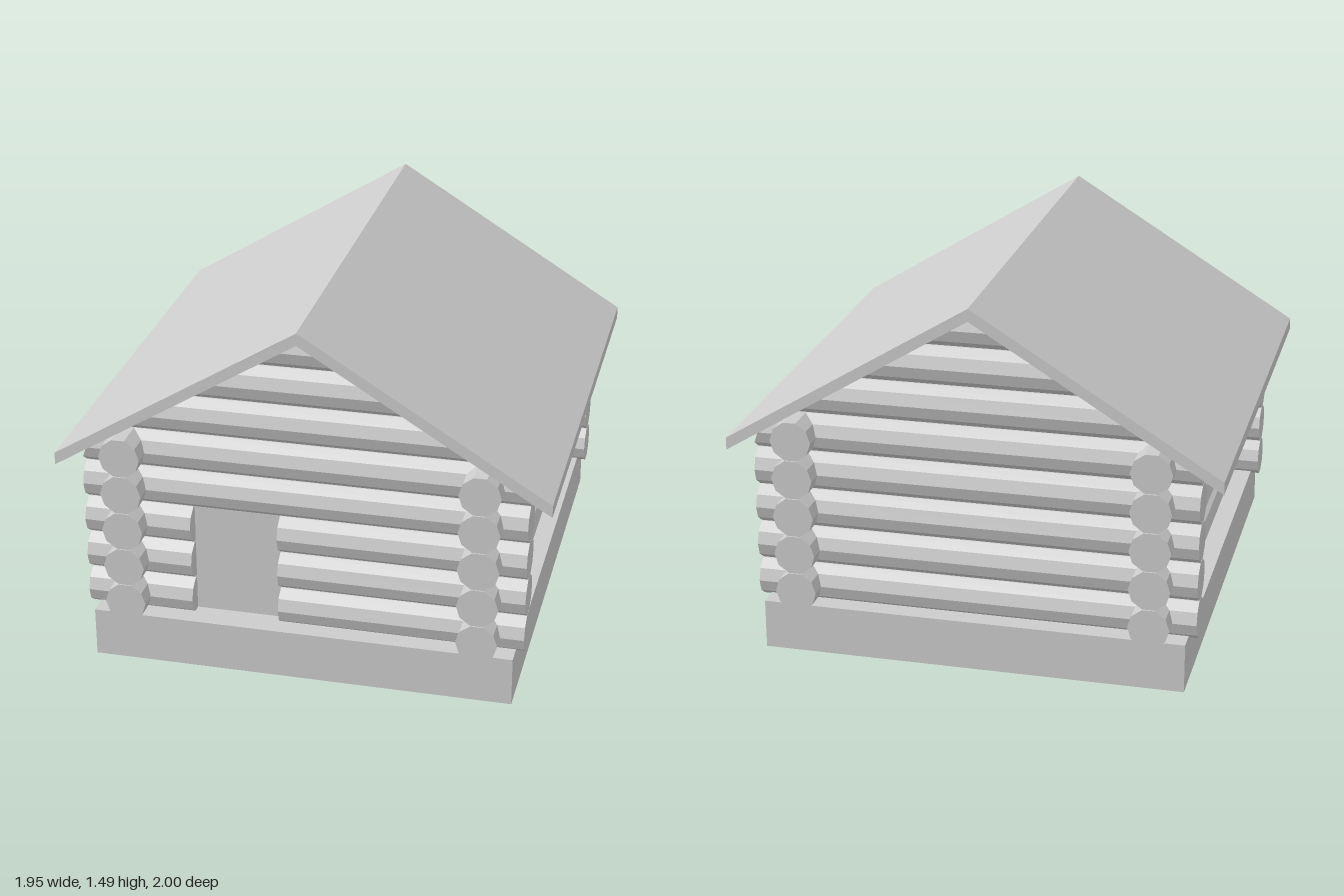
import * as THREE from 'three';

const RADIUS = 0.082, FIRST_Y = 0.265, STEP = 0.159;
const WALL_X = 0.705, WALL_Z = 0.85, LOG_END_X = 0.88;
const SLOPE = 0.615, RIDGE_IN = 1.435, RIDGE_OUT = 1.485;
const ROOF_X = 0.975, ROOF_Z = 0.975;
const DOOR = { x0: -0.45, x1: -0.1, top: 0.66, rows: 3 };

const material = new THREE.MeshStandardMaterial({ color: 0xcccccc, flatShading: true });

function add(group, name, geometry) {
  const mesh = new THREE.Mesh(geometry, material);
  mesh.name = name;
  group.add(mesh);
  return mesh;
}

// Ten-sided log along x, flat on top and bottom, centred on the origin
function logGeometry(length) {
  return new THREE.CylinderGeometry(RADIUS, RADIUS, length, 10).rotateZ(Math.PI / 2);
}

// Log along x from x0 to x1, its ends trimmed to the underside of the roof
function trimmedLog(x0, x1, y, z) {
  const geometry = logGeometry(x1 - x0).translate((x0 + x1) / 2, y, z);
  const p = geometry.attributes.position;
  for (let i = 0; i < p.count; i++) {
    const limit = Math.max(0, (RIDGE_IN - 0.005 - p.getY(i)) / SLOPE);
    p.setX(i, THREE.MathUtils.clamp(p.getX(i), -limit, limit));
  }
  geometry.computeVertexNormals();
  return geometry;
}

export function createModel() {
  const model = new THREE.Group();
  model.name = 'logCabin';

  // Foundation slab
  add(model, 'foundation', new THREE.BoxGeometry(1.69, 0.2, 1.95).translate(0, 0.1, 0));

  // Side walls: five full-length logs each, overlapping the end walls
  for (const side of [1, -1]) {
    const wall = new THREE.Group();
    wall.name = side > 0 ? 'leftWall' : 'rightWall';
    for (let i = 0; i < 5; i++) {
      const geometry = logGeometry(2).rotateY(Math.PI / 2);
      add(wall, 'sideLog', geometry.translate(side * WALL_X, FIRST_Y + i * STEP, 0));
    }
    model.add(wall);
  }

  // End walls with gables: eight rows, split around the door at the front
  for (const side of [1, -1]) {
    const wall = new THREE.Group();
    wall.name = side > 0 ? 'frontWall' : 'backWall';
    for (let i = 0; i < 8; i++) {
      const y = FIRST_Y + i * STEP;
      const spans = side > 0 && i < DOOR.rows
        ? [[-LOG_END_X, DOOR.x0], [DOOR.x1, LOG_END_X]]
        : [[-LOG_END_X, LOG_END_X]];
      for (const [x0, x1] of spans) {
        add(wall, i < 5 ? 'endLog' : 'gableLog', trimmedLog(x0, x1, y, side * WALL_Z));
      }
    }
    model.add(wall);
  }

  // Door panel set back between the log ends
  const doorHeight = DOOR.top - 0.19;
  add(model, 'door', new THREE.BoxGeometry(DOOR.x1 - DOOR.x0, doorHeight, 0.04)
    .translate((DOOR.x0 + DOOR.x1) / 2, 0.19 + doorHeight / 2, WALL_Z - 0.01));

  // Gabled roof: a chevron section extruded along the ridge
  const drop = SLOPE * ROOF_X;
  const section = new THREE.Shape([
    [-ROOF_X, RIDGE_IN - drop], [0, RIDGE_IN], [ROOF_X, RIDGE_IN - drop],
    [ROOF_X, RIDGE_OUT - drop], [0, RIDGE_OUT], [-ROOF_X, RIDGE_OUT - drop],
  ].map(([x, y]) => new THREE.Vector2(x, y)));
  add(model, 'roof', new THREE.ExtrudeGeometry(section, { depth: 2 * ROOF_Z, bevelEnabled: false })
    .translate(0, 0, -ROOF_Z));

  return model;
}
